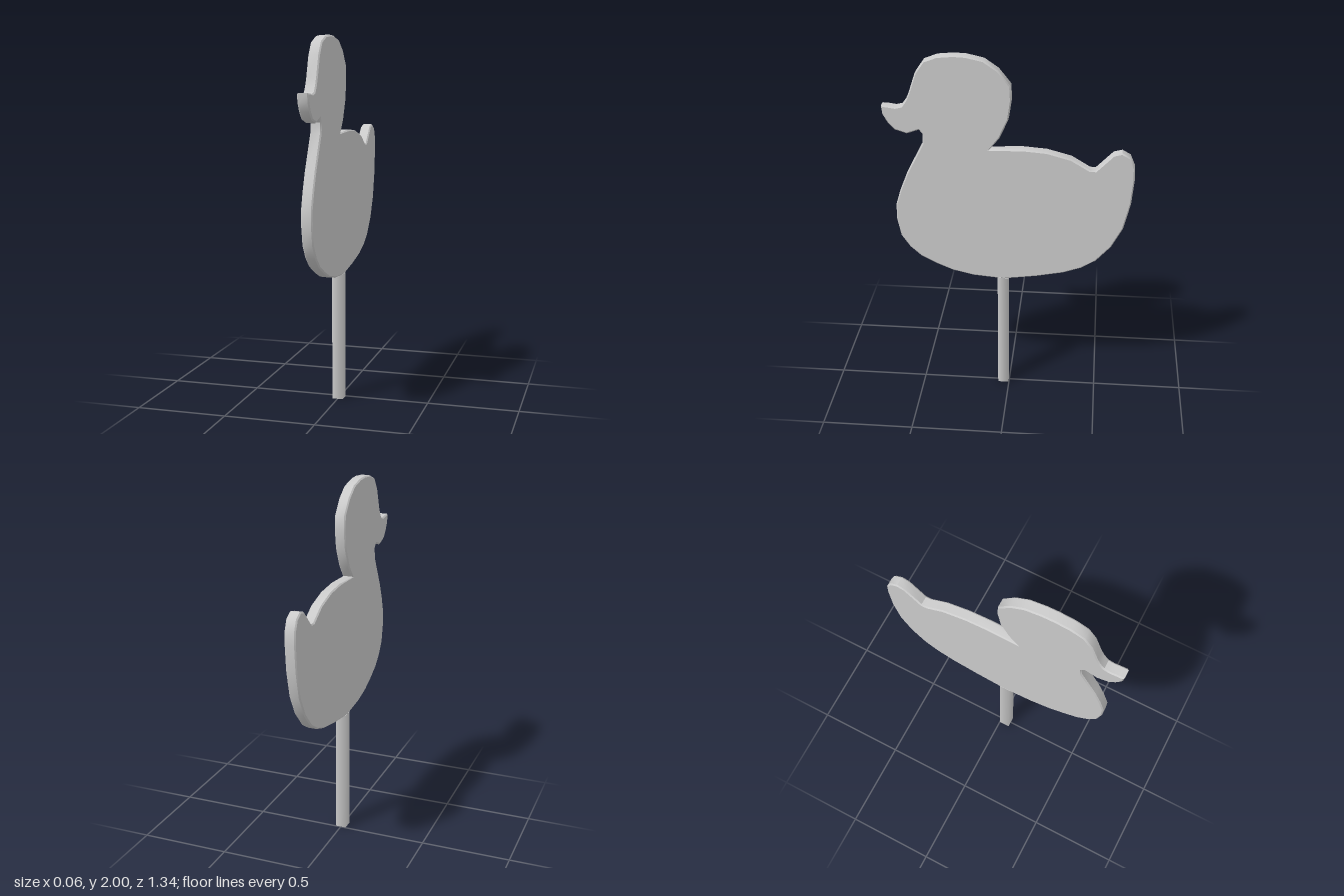
import * as THREE from 'three';
import { toCreasedNormals } from 'three/addons/utils/BufferGeometryUtils.js';

const THICKNESS = 0.06;
const BEVEL = 0.007;

// Duck silhouette as [z, y], from the belly round the tail, head, bill and breast
const OUTLINE = [
  // belly and rump
  [0.03, 0.705], [-0.15, 0.73], [-0.30, 0.76], [-0.40, 0.795], [-0.48, 0.845],
  [-0.56, 0.935], [-0.62, 1.05], [-0.655, 1.20], [-0.667, 1.34],
  // tail
  [-0.665, 1.41], [-0.64, 1.47], [-0.595, 1.495], [-0.55, 1.483], [-0.46, 1.39], [-0.43, 1.39],
  // back
  [-0.33, 1.45], [-0.20, 1.485], [-0.07, 1.495], [0.105, 1.487],
  // head
  [0.05, 1.555], [0.003, 1.66], [-0.013, 1.765], [-0.008, 1.845], [0.055, 1.925],
  [0.13, 1.977], [0.22, 1.997], [0.285, 2.0], [0.37, 1.992], [0.44, 1.965],
  [0.485, 1.90], [0.522, 1.79],
  // bill
  [0.54, 1.75], [0.563, 1.718], [0.595, 1.71], [0.645, 1.717], [0.67, 1.717],
  [0.665, 1.67], [0.64, 1.625], [0.605, 1.585], [0.54, 1.565], [0.475, 1.588],
  // throat and breast
  [0.457, 1.565], [0.46, 1.51], [0.55, 1.335], [0.59, 1.235], [0.617, 1.145],
  [0.617, 1.055], [0.597, 0.955], [0.55, 0.885], [0.49, 0.83], [0.405, 0.785],
  [0.315, 0.747], [0.20, 0.72],
];

export function createModel() {
  const group = new THREE.Group();
  group.name = 'duckOnStick';
  const material = new THREE.MeshStandardMaterial({ color: 0xcccccc });

  // Flat duck plate with a fine bevel, turned to lie in the YZ plane
  const shape = new THREE.Shape(OUTLINE.map(([z, y]) => new THREE.Vector2(z, y)));
  const depth = THICKNESS - 2 * BEVEL;
  const plate = new THREE.ExtrudeGeometry(shape, {
    depth,
    bevelEnabled: true,
    bevelSize: BEVEL,
    bevelThickness: BEVEL,
    bevelOffset: -BEVEL,
    bevelSegments: 1,
  });
  plate.translate(0, 0, -depth / 2).rotateY(-Math.PI / 2);
  const duck = new THREE.Mesh(toCreasedNormals(plate, 0.7), material);
  duck.name = 'duckPlate';
  group.add(duck);

  // Square stick with softly shaded corners
  const height = 0.71;
  const radius = (THICKNESS / 2) * Math.SQRT2;
  const post = new THREE.CylinderGeometry(radius, radius, height, 4);
  post.rotateY(Math.PI / 4).translate(0, height / 2, 0.033);
  const stick = new THREE.Mesh(post, material);
  stick.name = 'stick';
  group.add(stick);

  return group;
}
